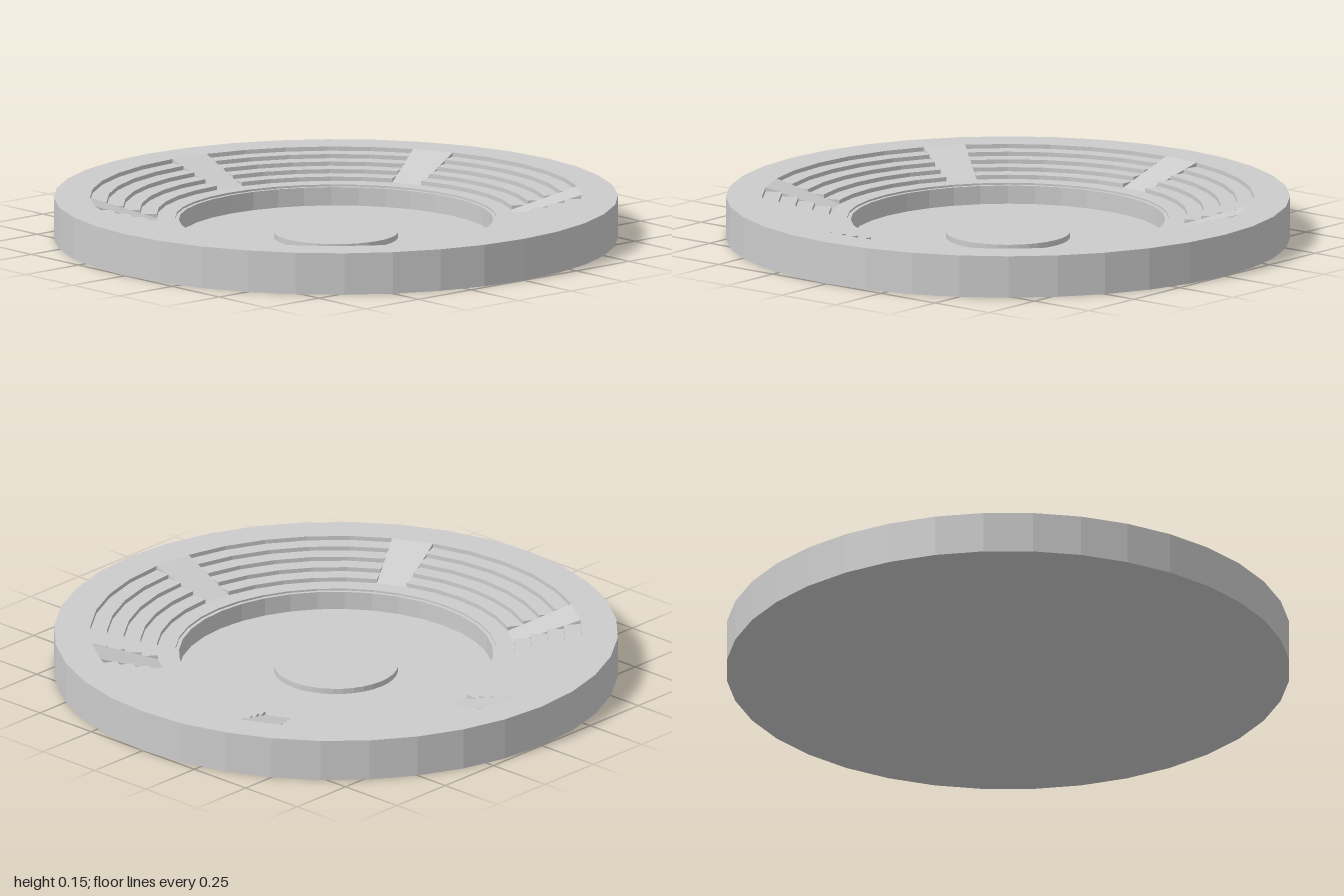
import * as THREE from 'three';

const DEG = Math.PI / 180;
const SEGMENTS = 36;
const RIM_Y = 0.15, LEDGE_Y = 0.075, FLOOR_Y = 0.002;
const TIER_OUT = 0.872, TIER_IN = 0.635, STEPS = 5;

export function createModel() {
  const group = new THREE.Group();
  const material = new THREE.MeshStandardMaterial({ color: 0xcccccc, flatShading: true });
  const thin = material.clone();
  thin.side = THREE.DoubleSide;

  // Revolve a [radius, height] profile, optionally over part of a turn
  function turn(name, profile, start = 0, length = 360) {
    const points = profile.map(([r, y]) => new THREE.Vector2(r, y));
    const count = Math.round(length / 360 * SEGMENTS);
    const geometry = new THREE.LatheGeometry(points, count, start * DEG, length * DEG);
    const mesh = new THREE.Mesh(geometry, material);
    mesh.name = name;
    group.add(mesh);
  }

  // Underside, outer wall and flat rim
  turn('outerShell', [[0, 0], [1, 0], [1, RIM_Y], [TIER_OUT, RIM_Y]]);

  // Inner ledge, narrow lip, pit wall and floor
  turn('arenaPit', [
    [TIER_IN, LEDGE_Y], [0.57, LEDGE_Y], [0.57, 0.068], [0.557, 0.068],
    [0.557, FLOOR_Y], [0, FLOOR_Y],
  ]);

  // Low round stage in the middle
  turn('centreStage', [[0.22, FLOOR_Y], [0.22, 0.022], [0, 0.022]]);

  // Tier profile: five risers joined by four treads
  const radius = i => TIER_OUT + (TIER_IN - TIER_OUT) * i / (STEPS - 1);
  const height = i => RIM_Y + (LEDGE_Y - RIM_Y) * i / STEPS;
  const tiers = [];
  for (let i = 0; i < STEPS; i++) tiers.push([radius(i), height(i)], [radius(i), height(i + 1)]);
  const ramp = [[TIER_OUT, RIM_Y], [TIER_IN, LEDGE_Y]];

  // Triangles closing the gaps between the stepped and the sloped profile
  const rampY = r => LEDGE_Y + (RIM_Y - LEDGE_Y) * (r - TIER_IN) / (TIER_OUT - TIER_IN);
  const rampR = y => TIER_IN + (TIER_OUT - TIER_IN) * (y - LEDGE_Y) / (RIM_Y - LEDGE_Y);
  const cheeks = [];
  for (let i = 0; i < STEPS - 1; i++) {
    const y = height(i + 1), cross = rampR(y);
    for (const r of [radius(i), radius(i + 1)]) {
      cheeks.push(new THREE.Shape([
        new THREE.Vector2(r, rampY(r)), new THREE.Vector2(r, y), new THREE.Vector2(cross, y),
      ]));
    }
  }
  const cheekGeometry = new THREE.ShapeGeometry(cheeks);

  // Six ramps divide the tiers into six blocks
  for (let k = 0; k < 6; k++) {
    const start = 20 + k * 60;
    turn('aisleRamp', ramp, start, 10);
    turn('seatingTiers', tiers, start + 10, 50);
    for (const angle of [start, start + 10]) {
      const cheek = new THREE.Mesh(cheekGeometry, thin);
      cheek.name = 'rampCheek';
      cheek.rotation.y = (angle - 90) * DEG;
      group.add(cheek);
    }
  }
  return group;
}
